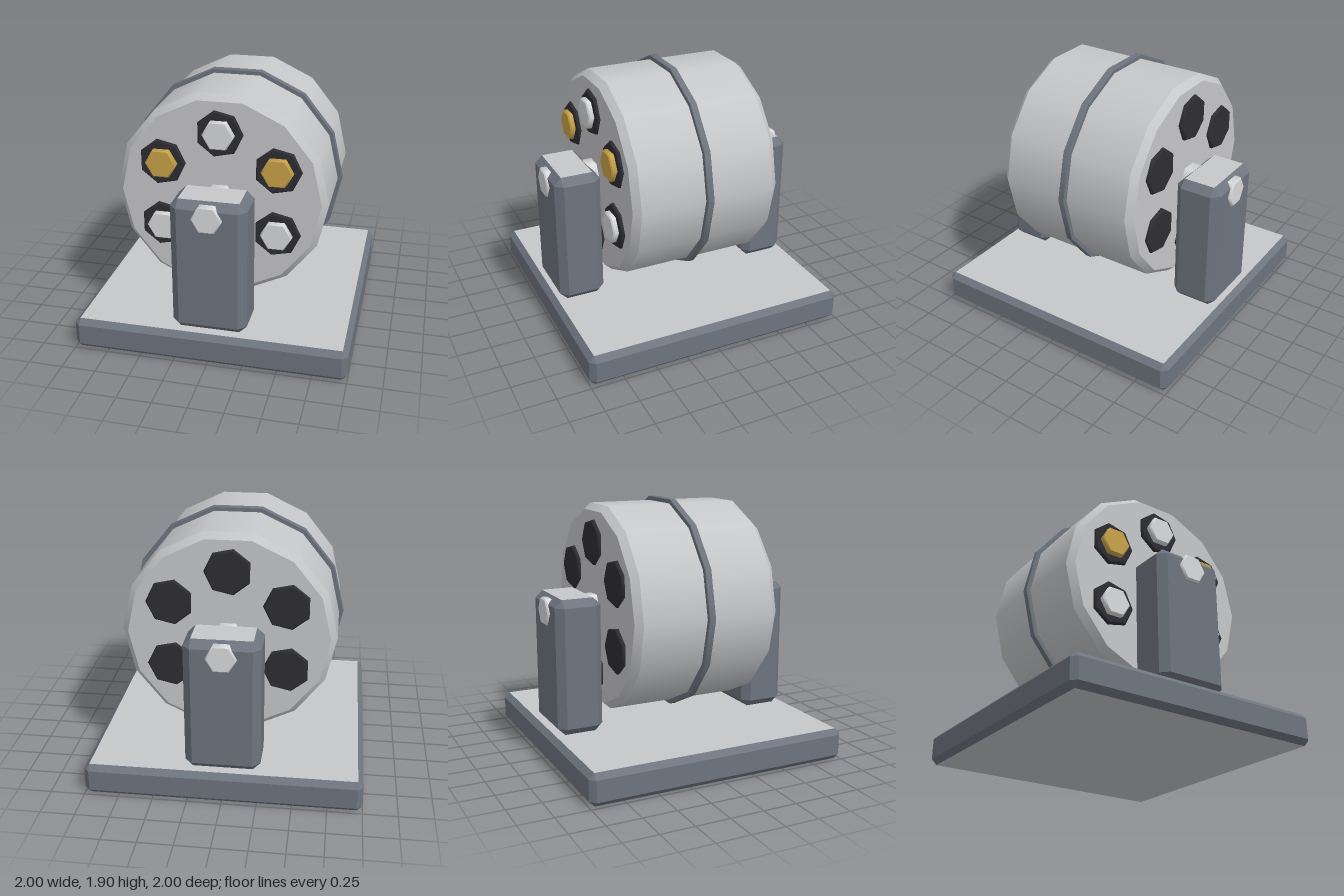
import * as THREE from 'three';
import { mergeGeometries } from 'three/addons/utils/BufferGeometryUtils.js';
import { ConvexGeometry } from 'three/addons/geometries/ConvexGeometry.js';

const material = (name, color) => {
  const m = new THREE.MeshStandardMaterial({ color });
  m.name = name;
  return m;
};

// Faceted round part along z, from z0 to z1, with bevelled rims and its first corner at +x
function rod(radius, z0, z1, sides, bevelR, bevelZ = bevelR) {
  const profile = [
    [0, z0], [radius - bevelR, z0], [radius, z0 + bevelZ],
    [radius, z1 - bevelZ], [radius - bevelR, z1], [0, z1],
  ].map(([r, z]) => new THREE.Vector2(r, z));
  // one lathe per profile segment keeps the rims sharp
  const bands = profile.slice(1).map((p, i) => new THREE.LatheGeometry([profile[i], p], sides));
  return mergeGeometries(bands).rotateX(Math.PI / 2).rotateZ(Math.PI / 2);
}

// Box with every edge chamfered; group 1 holds the flat top and bottom
function chamferBox(w, h, d, c) {
  const points = [];
  for (const sx of [-1, 1]) for (const sy of [-1, 1]) for (const sz of [-1, 1]) {
    for (let axis = 0; axis < 3; axis++) {
      const inset = [c, c, c];
      inset[axis] = 0;
      points.push(new THREE.Vector3(
        sx * (w / 2 - inset[0]), sy * (h / 2 - inset[1]), sz * (d / 2 - inset[2])));
    }
  }
  const geometry = new ConvexGeometry(points);
  const normal = geometry.attributes.normal;
  for (let i = 0; i < normal.count; i += 3) {
    geometry.addGroup(i, 3, Math.abs(normal.getY(i)) > 0.99 ? 1 : 0);
  }
  return geometry;
}

export function createModel() {
  const model = new THREE.Group();
  model.name = 'revolvingDrumOnStand';
  const pale = material('paleGrey', 0xc6c7c9);
  const slate = material('slateGrey', 0x6e757f);
  const silver = material('silver', 0xd9dadc);
  const gold = material('gold', 0xc9a349);
  const dark = material('charcoal', 0x2e2d33);

  const add = (parent, name, geometry, mat, x = 0, y = 0, z = 0) => {
    const mesh = new THREE.Mesh(geometry, mat);
    mesh.name = name;
    mesh.position.set(x, y, z);
    parent.add(mesh);
  };

  // Base plate and the two upright supports
  add(model, 'base', chamferBox(2, 0.235, 2, 0.04), [slate, pale], 0, 0.1175, 0);
  const support = chamferBox(0.54, 1, 0.345, 0.055);
  add(model, 'frontSupport', support, [slate, pale], 0, 0.735, 0.77);
  add(model, 'backSupport', support, [slate, pale], 0, 0.735, -0.77);

  // Drum with its middle band, turning on a hexagonal axle
  const drum = new THREE.Group();
  drum.name = 'drum';
  drum.position.y = 1.12;
  model.add(drum);
  add(drum, 'drumBody', rod(0.77, -0.56, 0.56, 14, 0.045, 0.05), pale);
  add(drum, 'drumBand', rod(0.803, -0.025, 0.025, 14, 0.004), slate);
  add(drum, 'axle', rod(0.11, -0.96, 0.96, 6, 0.01), silver);

  // Six chambers right through the drum, each with a plug at the front
  const chamber = rod(0.17, -0.585, 0.585, 7, 0.01);
  const plug = rod(0.115, 0.55, 0.625, 6, 0.01);
  for (let i = 0; i < 6; i++) {
    const angle = Math.PI / 6 + (i * Math.PI) / 3;
    const x = 0.48 * Math.cos(angle), y = 0.48 * Math.sin(angle);
    add(drum, 'chamber', chamber, dark, x, y);
    add(drum, 'plug', plug, i % 2 ? silver : gold, x, y);
  }
  return model;
}
